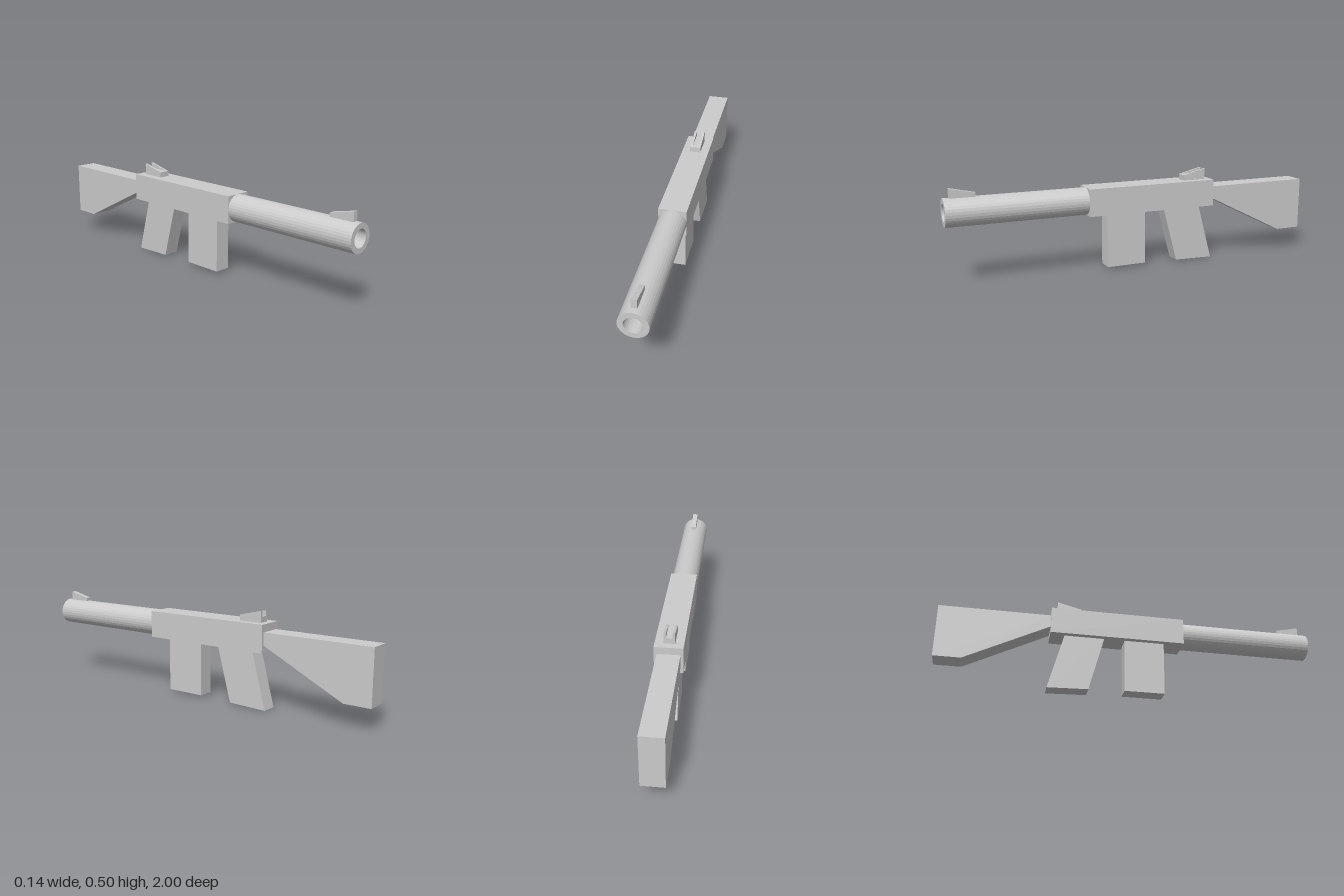
import * as THREE from 'three';

const material = new THREE.MeshStandardMaterial({ color: 0xcccccc, flatShading: true });

export function createModel() {
  const group = new THREE.Group();

  function add(name, geometry) {
    const mesh = new THREE.Mesh(geometry, material);
    mesh.name = name;
    group.add(mesh);
    return mesh;
  }

  // Side outline given as [z, y] corners, extruded evenly across x
  function sidePart(name, corners, width, x = 0) {
    const shape = new THREE.Shape(corners.map(([z, y]) => new THREE.Vector2(z, y)));
    const geometry = new THREE.ExtrudeGeometry(shape, { depth: width, bevelEnabled: false });
    geometry.translate(0, 0, -width / 2).rotateY(-Math.PI / 2).translate(x, 0, 0);
    return add(name, geometry);
  }

  // Receiver body
  add('receiver', new THREE.BoxGeometry(0.142, 0.142, 0.71)).position.set(0, 0.368, -0.07);

  // Hollow barrel, its bore closed by the receiver
  const ring = [[0.044, 0], [0.071, 0], [0.071, 0.715], [0.044, 0.715], [0.044, 0]];
  const barrel = new THREE.LatheGeometry(ring.map(([r, y]) => new THREE.Vector2(r, y)), 32);
  barrel.rotateX(Math.PI / 2);
  add('barrel', barrel).position.set(0, 0.368, 0.285);

  // Magazine and slanted grip
  add('magazine', new THREE.BoxGeometry(0.084, 0.287, 0.212)).position.set(0, 0.1555, 0.075);
  sidePart('grip', [[-0.14, 0.298], [-0.35, 0.298], [-0.43, 0], [-0.218, 0.006]], 0.084);

  // Tapered shoulder stock
  sidePart('stock', [[-0.425, 0.4], [-1, 0.4], [-1, 0.118], [-0.86, 0.118], [-0.425, 0.335]], 0.114);

  // Front sight blade
  sidePart('frontSight', [[0.97, 0.43], [0.97, 0.485], [0.845, 0.457], [0.845, 0.43]], 0.027);

  // Rear sight: low base with two rising cheeks
  sidePart('rearSightBase', [[-0.265, 0.439], [-0.265, 0.467], [-0.29, 0.469], [-0.39, 0.469], [-0.39, 0.439]], 0.032);
  for (const side of [-1, 1]) {
    sidePart('rearSightCheek', [[-0.265, 0.439], [-0.265, 0.467], [-0.39, 0.497], [-0.39, 0.439]], 0.012, side * 0.022);
  }

  return group;
}
